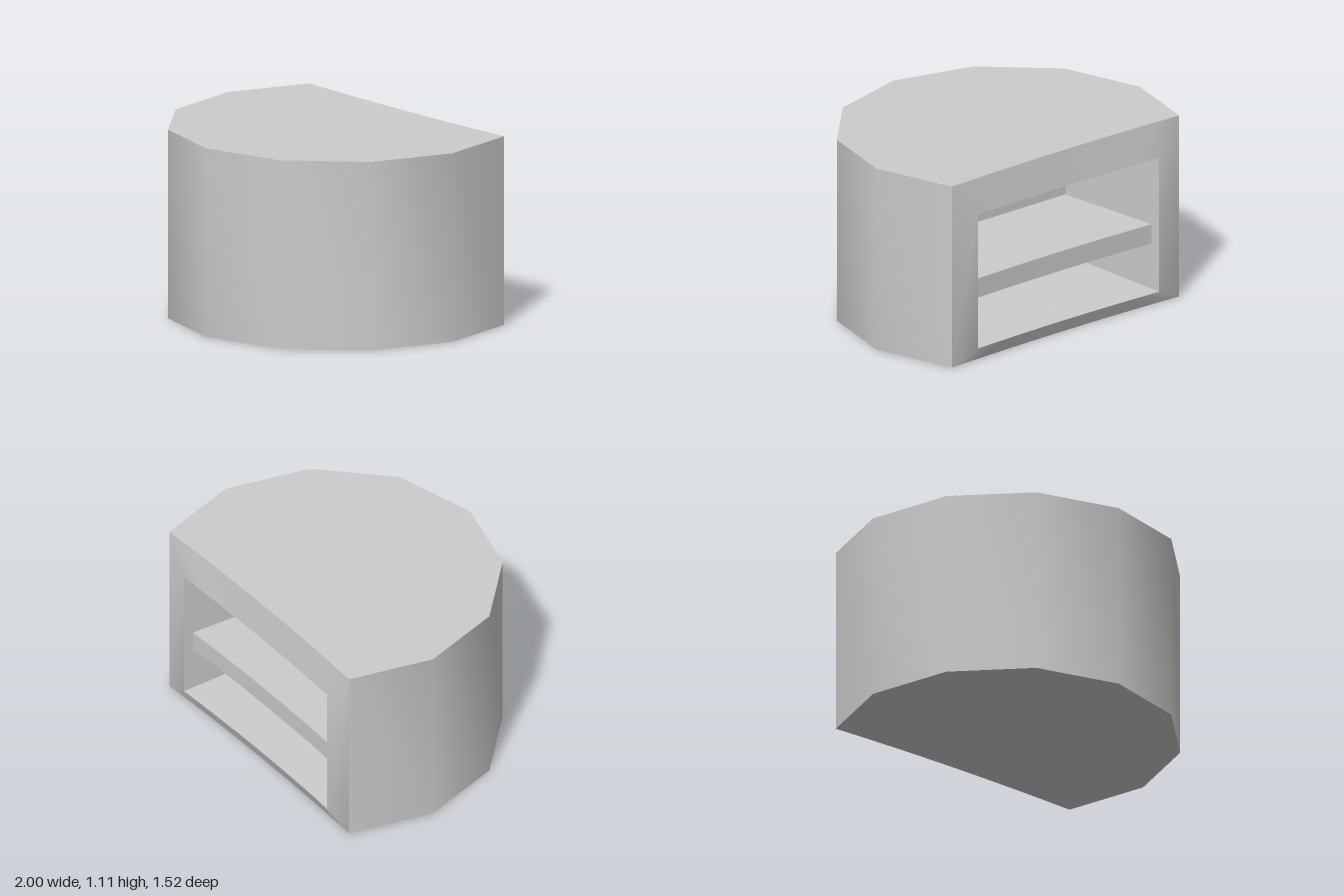
import * as THREE from 'three';
import { toCreasedNormals } from 'three/addons/utils/BufferGeometryUtils.js';

const HEIGHT = 1.11, SEG = 8;
const material = new THREE.MeshStandardMaterial({ color: 0xcccccc });

// points across the width, bowed slightly towards the middle
function bow(w, zMid, zEnd) {
  return Array.from({ length: SEG + 1 }, (_, i) => {
    const t = (2 * i) / SEG - 1;
    return [w * t, zMid + (zEnd - zMid) * t * t];
  });
}

// closed rectangular loop with bowed bottom and top edges
function rectLoop(w, y0, y1, zMid, zEnd) {
  const row = bow(w, zMid, zEnd);
  const loop = [
    ...row.map(([x, z]) => [x, y0, z]),
    ...row.slice().reverse().map(([x, z]) => [x, y1, z]),
  ];
  return [...loop, loop[0]];
}

// skin between two matching rows of points
function skin(a, b) {
  const pos = [];
  for (let i = 0; i < a.length - 1; i++) {
    pos.push(...a[i], ...b[i], ...b[i + 1], ...a[i], ...b[i + 1], ...a[i + 1]);
  }
  const g = new THREE.BufferGeometry();
  g.setAttribute('position', new THREE.Float32BufferAttribute(pos, 3));
  return toCreasedNormals(g, 0.7);
}

function shapeOf(points, flip = 1) {
  return new THREE.Shape(points.map(([x, z]) => new THREE.Vector2(x, flip * z)));
}

export function createModel() {
  const group = new THREE.Group();
  const add = (name, geometry) => {
    const mesh = new THREE.Mesh(geometry, material);
    mesh.name = name;
    group.add(mesh);
    return mesh;
  };

  // plan outline: nine corners of a twelve-sided round, cut off at the back
  const arc = [];
  for (let i = -4; i <= 4; i++) {
    const a = (i * Math.PI) / 6;
    arc.push([Math.sin(a), -0.24 + Math.cos(a)]);
  }
  const back = bow(0.866, -0.72, -0.74);
  const outline = [...arc, ...back.slice(1, -1).reverse()];

  // curved outer wall
  add('outerWall', skin(arc.map(([x, z]) => [x, HEIGHT, z]), arc.map(([x, z]) => [x, 0, z])));

  // flat top and base
  const top = new THREE.ShapeGeometry(shapeOf(outline, -1));
  top.rotateX(-Math.PI / 2).translate(0, HEIGHT, 0);
  add('counterTop', top);
  add('base', new THREE.ShapeGeometry(shapeOf(outline)).rotateX(Math.PI / 2));

  // raised frame around the opening, then the tapering recess behind it
  const rim = rectLoop(0.866, 0, HEIGHT, -0.72, -0.74);
  const opening = rectLoop(0.69, 0.08, 0.9, -0.75, -0.765);
  const recessEnd = rectLoop(0.63, 0.11, 0.87, -0.02, -0.02);
  add('backFrame', skin(rim, opening));
  add('recessWalls', skin(opening, recessEnd));
  const end = new THREE.PlaneGeometry(1.26, 0.76).rotateY(Math.PI);
  add('recessBack', end.translate(0, 0.49, -0.02));

  // shelf across the recess
  const shelf = new THREE.ExtrudeGeometry(
    shapeOf([...bow(0.685, -0.69, -0.705), [0.63, -0.02], [-0.63, -0.02]]),
    { depth: 0.118, bevelEnabled: false }
  );
  add('shelf', shelf.rotateX(Math.PI / 2).translate(0, 0.478, 0));

  return group;
}
